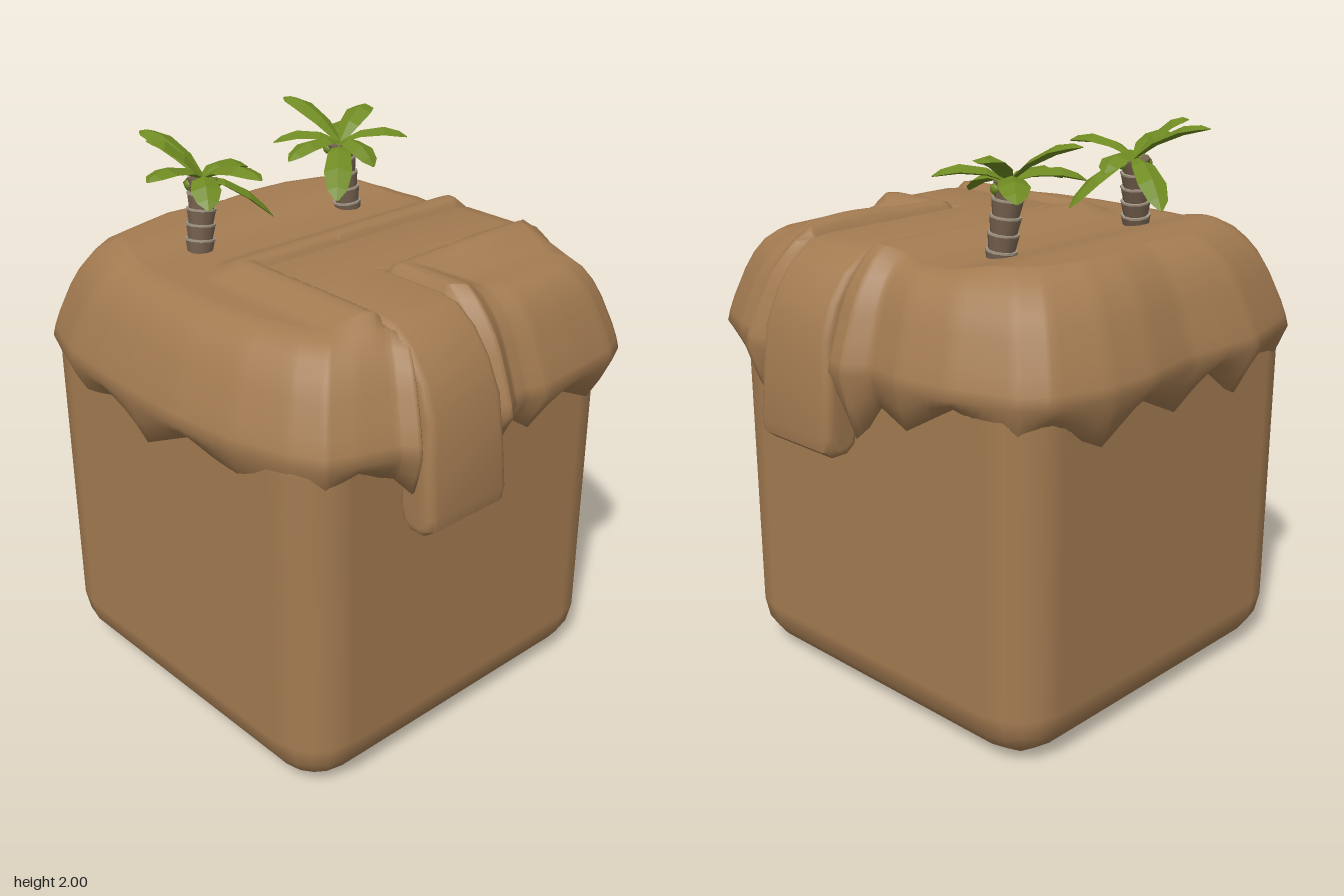
import * as THREE from 'three';
import { toCreasedNormals } from 'three/addons/utils/BufferGeometryUtils.js';
import { RoundedBoxGeometry } from 'three/addons/geometries/RoundedBoxGeometry.js';

const mat = (name, color) => new THREE.MeshStandardMaterial({ name, color });
const { smoothstep, lerp } = THREE.MathUtils;

function add(parent, name, geometry, material) {
  const mesh = new THREE.Mesh(geometry, material);
  mesh.name = name;
  parent.add(mesh);
  return mesh;
}

// Rim of the cap, seen from above: x, z and the height of the ragged lower edge
const RIM = [
  [-0.85, 0.15, 1.2], [-0.85, -0.1, 1.09], [-0.84, -0.3, 1.2], [-0.82, -0.5, 1.12], [-0.74, -0.72, 1.08],
  [-0.67, -0.78, 1.1], [-0.52, -0.82, 1.2], [-0.36, -0.86, 1.1], [-0.2, -0.85, 1.21], [-0.03, -0.83, 1.1],
  [0.2, -0.86, 1.2], [0.4, -0.85, 1.09], [0.6, -0.79, 1.18], [0.68, -0.72, 1.1], [0.76, -0.5, 1.22],
  [0.79, -0.3, 1.11], [0.77, -0.15, 1.15], [0.83, -0.08, 1.04], [0.82, -0.01, 1.12], [0.77, 0.05, 1.15],
  [0.77, 0.27, 1.15], [0.81, 0.33, 1.1], [0.83, 0.42, 1.07], [0.76, 0.49, 1.18], [0.75, 0.57, 1.12],
  [0.68, 0.73, 1.16], [0.58, 0.78, 1.12], [0.38, 0.8, 1.21], [0.2, 0.81, 1.13], [0.12, 0.79, 1.18],
  [0.06, 0.79, 1.1], [-0.01, 0.84, 1.18], [-0.07, 0.78, 1.15], [-0.36, 0.78, 1.15], [-0.42, 0.84, 1.1],
  [-0.47, 0.79, 1.16], [-0.6, 0.75, 1.2], [-0.7, 0.71, 1.12], [-0.76, 0.6, 1.1], [-0.82, 0.4, 1.13],
];

// Distance to a rectangle on the ground plan, negative inside
function rectDistance(x, z, x0, x1, z0, z1) {
  const dx = Math.max(x0 - x, x - x1), dz = Math.max(z0 - z, z - z1);
  return Math.hypot(Math.max(dx, 0), Math.max(dz, 0)) + Math.min(Math.max(dx, dz), 0);
}

// Height of the ground: banks rise beside the L-shaped channel
function ground(x, z) {
  const d = Math.min(rectDistance(x, z, -0.36, -0.06, 0, 2), rectDistance(x, z, -0.36, 2, 0, 0.31));
  const bank = 0.045 * (1 - smoothstep(d, 0.04, 0.18));
  const channel = 0.09 * (1 - smoothstep(d, -0.05, 0.02));
  const mound = 0.025 * Math.exp(-((x - 0.38) ** 2) / 0.05 - ((z - 0.4) ** 2) / 0.006);
  const back = 0.03 * smoothstep(-z, 0.28, 0.5);
  return 1.615 + bank - channel + mound + back;
}

function capGeometry() {
  const columns = [], parts = 6;
  RIM.forEach((a, i) => {
    const b = RIM[(i + 1) % RIM.length];
    for (let k = 0; k < parts; k++) columns.push(a.map((v, c) => lerp(v, b[c], k / parts)));
  });
  const rings = [];
  for (let i = 0; i <= 40; i++) rings.push([0.74 * i / 40, ground]);
  rings.push(
    [0.8, (x, z) => lerp(1.6, ground(x, z), 0.35)], [0.85, () => 1.572], [0.89, () => 1.525],
    [0.925, () => 1.465], [0.97, () => 1.365], [0.99, () => 1.31], [1, () => 1.27],
    [0.965, (x, z, low) => lerp(1.27, low, 0.5)], [0.92, (x, z, low) => low],
    [0.82, (x, z, low) => low + 0.03],
  );
  const position = [], index = [], n = columns.length;
  rings.forEach(([s, height], r) => columns.forEach(([x, z, low], j) => {
    position.push(x * s, height(x * s, z * s, low), z * s);
    if (r === 0) return;
    const k = (j + 1) % n, inner = (r - 1) * n, outer = r * n;
    index.push(inner + j, outer + k, outer + j);
    if (r > 1) index.push(inner + j, inner + k, outer + k);
  }));
  const g = new THREE.BufferGeometry();
  g.setAttribute('position', new THREE.Float32BufferAttribute(position, 3));
  g.setIndex(index);
  g.computeVertexNormals();
  return g;
}

// Thick band that runs flat over the top and hangs down over the edge
function bandGeometry(start, width) {
  const bevel = 0.03;
  const side = [[start, 1.61], [0.56, 1.61], [0.62, 1.6], [0.69, 1.55], [0.75, 1.47], [0.795, 1.36], [0.81, 1.2],
    [0.825, 1.04], [0.82, 1.01], [0.8, 0.995], [0.765, 0.995], [0.745, 1.01], [0.735, 1.05], [0.72, 1.35],
    [0.6, 1.5], [start, 1.5]];
  const shape = new THREE.Shape(side.map(p => new THREE.Vector2(...p)));
  const g = new THREE.ExtrudeGeometry(shape, {
    depth: width - 2 * bevel, bevelThickness: bevel, bevelSize: bevel, bevelSegments: 4,
  });
  g.translate(0, 0, bevel - width / 2);
  const p = g.attributes.position;
  for (let i = 0; i < p.count; i++) {
    p.setZ(i, p.getZ(i) * lerp(1.12, 0.98, smoothstep(p.getY(i), 1.1, 1.55)));
  }
  return toCreasedNormals(g, 0.7);
}

// Pointed, arched leaf with a raised midrib
function leafGeometry(base, tip) {
  const dir = tip.clone().sub(base);
  const across = new THREE.Vector3(-dir.z, 0, dir.x).normalize();
  const sections = [[0, 0.014], [0.3, 0.042], [0.65, 0.052], [0.88, 0.036], [1, 0.006]];
  const position = [], index = [];
  sections.forEach(([t, w], r) => {
    const c = base.clone().addScaledVector(dir, t);
    c.y += 0.12 * t * (1 - t);
    [[w, 0], [0, w * 0.35], [-w, 0], [0, -w * 0.25]].forEach(([s, h], k) => {
      position.push(c.x + across.x * s, c.y + h, c.z + across.z * s);
      if (r === 0) return;
      const a = (r - 1) * 4 + k, b = (r - 1) * 4 + (k + 1) % 4;
      index.push(a, b + 4, b, a, a + 4, b + 4);
    });
  });
  index.push(0, 1, 2, 0, 2, 3, 16, 18, 17, 16, 19, 18);
  const g = new THREE.BufferGeometry();
  g.setAttribute('position', new THREE.Float32BufferAttribute(position, 3));
  g.setIndex(index);
  const flat = g.toNonIndexed();
  flat.computeVertexNormals();
  return flat;
}

function palm(name, root, crown, tips, m) {
  const group = new THREE.Group();
  group.name = name;
  const axis = crown.clone().sub(root), up = new THREE.Vector3(0, 1, 0);
  const turn = new THREE.Quaternion().setFromUnitVectors(up, axis.clone().normalize());
  const steps = 5, h = axis.length() / steps;
  // Flared trunk segments with pale rings between them
  for (let i = 0; i < steps; i++) {
    const seg = add(group, 'trunkSegment', new THREE.CylinderGeometry(0.053, 0.044, h, 10), m.trunk);
    seg.position.copy(root).addScaledVector(axis, (i + 0.5) / steps);
    seg.quaternion.copy(turn);
    if (i === 0) continue;
    const ring = add(group, 'trunkRing', new THREE.CylinderGeometry(0.054, 0.054, 0.007, 10), m.ring);
    ring.position.copy(root).addScaledVector(axis, i / steps);
    ring.quaternion.copy(turn);
  }
  tips.forEach(t => add(group, 'leaf', leafGeometry(crown, new THREE.Vector3(...t)), m.leaf));
  // Small buds under the crown
  for (let i = 0; i < 4; i++) {
    const a = i * Math.PI / 2 + 0.5;
    const bud = add(group, 'bud', new THREE.SphereGeometry(0.02, 8, 6), m.leaf);
    bud.position.set(crown.x + 0.045 * Math.cos(a), crown.y - 0.02, crown.z + 0.045 * Math.sin(a));
  }
  return group;
}

export function createModel() {
  const model = new THREE.Group();
  model.name = 'desertBlock';
  const m = {
    sand: mat('sand', 0xa37b51), leaf: mat('leafGreen', 0x6f8a22),
    trunk: mat('trunkBrown', 0x776250), ring: mat('paleRing', 0xa09482),
  };

  // Rounded block below the cap
  const block = add(model, 'block', new RoundedBoxGeometry(1.47, 1.42, 1.47, 2, 0.19), m.sand);
  block.position.set(-0.035, 0.71, -0.025);

  add(model, 'sandCap', capGeometry(), m.sand);

  // The two arms of the channel
  const rightBand = add(model, 'rightBand', bandGeometry(-0.33, 0.32), m.sand);
  rightBand.position.z = 0.155;
  const frontBand = add(model, 'frontBand', bandGeometry(0.1, 0.32), m.sand);
  frontBand.rotation.y = -Math.PI / 2;
  frontBand.position.set(-0.215, 0, 0.005);

  // Palms
  model.add(palm('leftPalm', new THREE.Vector3(-0.37, 1.6, -0.31), new THREE.Vector3(-0.33, 1.86, -0.33), [
    [-0.39, 1.98, -0.6], [-0.2, 1.72, -0.55], [-0.1, 1.84, -0.38], [-0.11, 1.7, -0.22],
    [-0.28, 1.9, -0.07], [-0.42, 1.8, -0.18], [-0.59, 1.91, -0.28], [-0.47, 1.99, -0.45]], m));
  model.add(palm('rightPalm', new THREE.Vector3(0.335, 1.58, -0.31), new THREE.Vector3(0.315, 1.86, -0.335), [
    [0.26, 1.99, -0.59], [0.5, 1.84, -0.54], [0.52, 1.95, -0.4], [0.5, 1.88, -0.17],
    [0.31, 1.81, -0.15], [0.13, 1.72, -0.15], [0.06, 1.84, -0.33], [0.13, 1.86, -0.5]], m));
  return model;
}
